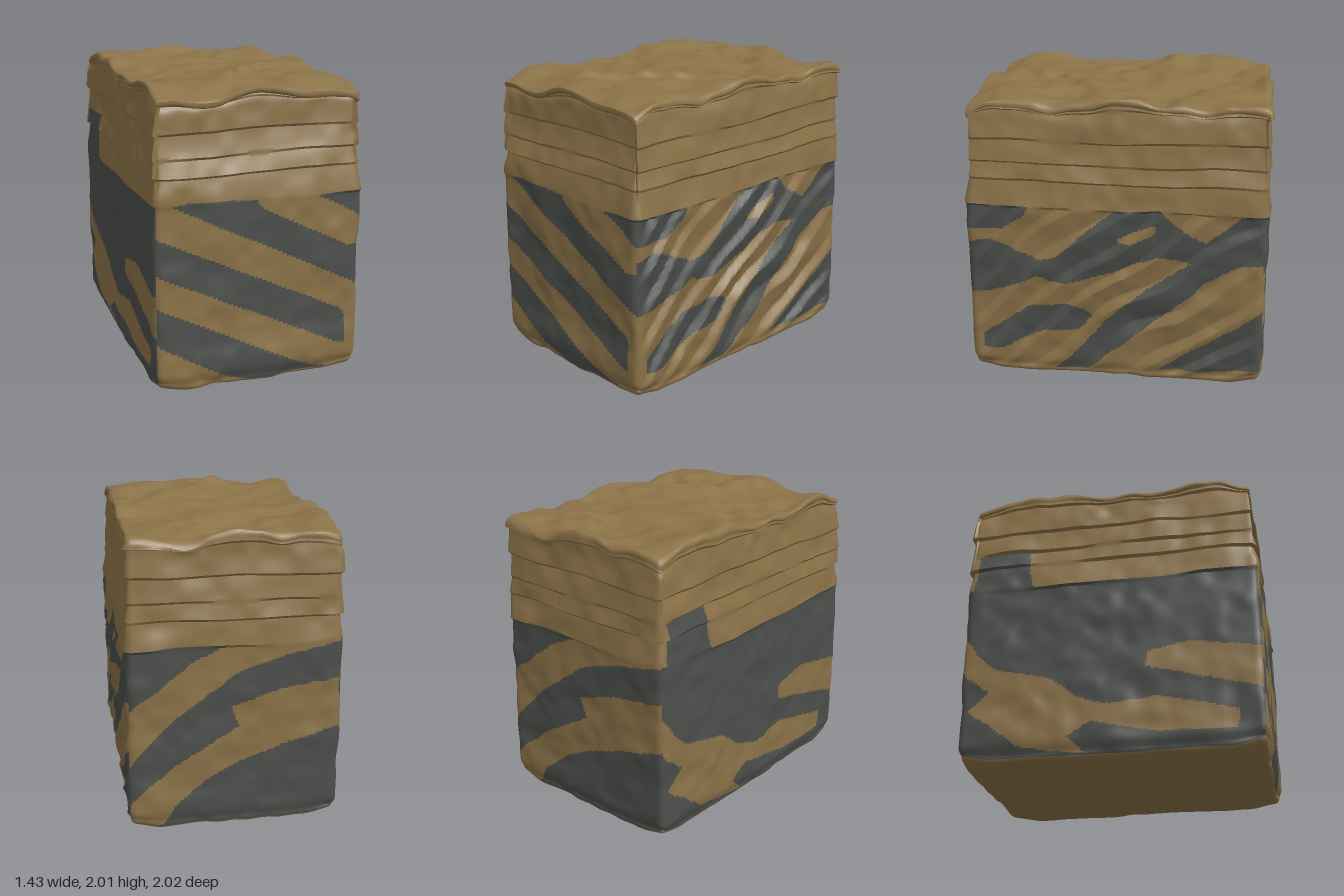
import * as THREE from 'three';
import { toCreasedNormals } from 'three/addons/utils/BufferGeometryUtils.js';

// Dark bands of each side as outlines of (horizontal, height): x on front and back, z on the sides
const bands = {
  front: [
    [[0.39, 1.25], [0.8, 1.25], [0.8, 1.03]],
    [[-0.58, 1.25], [-0.42, 1.27], [-0.3, 1.27], [-0.02, 1.25], [0, 1.2], [0.6, 0.9], [0.8, 0.9], [0.8, 0.57]],
    [[-0.8, 1.11], [0.55, 0.47], [0.59, 0.44], [0.6, 0.4], [0.6, 0.22], [0.54, 0.23], [-0.8, 0.87]],
    [[-0.8, 0.66], [0.48, 0.02], [0.4, -0.1], [0.1, -0.1], [-0.8, 0.42]],
  ],
  right: [
    [[1.1, 1.25], [0.57, 1.25], [0.6, 1.19], [0.76, 1.08], [1.1, 1.09]],
    [[1.1, 0.97], [0.81, 1.01], [0.52, 0.87], [0.4, 0.9], [0, 1.25], [-0.31, 1.25], [-0.39, 1.16],
      [-0.59, 1.04], [-0.85, 1.25], [-1.1, 1.25], [-1.1, 0.91], [-0.82, 0.89], [-0.6, 0.76],
      [-0.39, 0.55], [-0.07, 0.3], [0.2, 0.05], [0.43, 0.03], [0.25, 0.22], [-0.02, 0.55],
      [-0.5, 0.89], [-0.28, 0.94], [-0.07, 0.84], [0.25, 0.73], [0.44, 0.71], [0.52, 0.76],
      [0.76, 0.65], [1.1, 0.6]],
    [[-0.02, 1.05], [-0.26, 1.16], [-0.26, 1.1], [-0.1, 1.02], [-0.02, 1.02]], // hole in the band above
    [[-0.28, 0.09], [-0.5, 0.25], [-0.6, 0.3], [-1.1, 0.66], [-1.1, 0.14], [-0.6, 0.09]],
    [[0.91, 0.3], [0.57, 0.54], [0.25, 0.55], [0.15, 0.48], [0.25, 0.36], [0.46, 0.36], [0.78, 0.2], [0.91, 0.2]],
  ],
  back: [
    [[0.8, 0.78], [0.5, 0.97], [0.3, 1.14], [0.05, 1.25], [0.8, 1.25]],
    [[0.8, 0.36], [0.4, 0.77], [0, 1.07], [-0.4, 1.2], [-0.8, 1.25], [-0.8, 1.02], [-0.3, 0.95],
      [0.03, 0.84], [-0.02, 0.71], [0.4, 0.45], [0.8, 0.1]],
    [[0.55, -0.1], [0.4, 0.17], [0.2, 0.34], [0, 0.45], [-0.35, 0.58], [-0.8, 0.7], [-0.8, -0.1]],
  ],
  left: [
    [[-1.1, -0.1], [-1.1, 1.25], [-0.95, 1.25], [-0.92, 1.53], [-0.55, 1.53], [-0.53, 1.25], [1.1, 1.25], [1.1, -0.1]],
    [[-1.1, 0.96], [-0.93, 0.84], [-0.78, 0.66], [-0.6, 0.62], [-0.4, 0.57], [-0.2, 0.42], [0, 0.36], [0.3, 0.4],
      [0.83, 0.27], [0.8, 0.15], [0.3, 0.16], [-0.13, 0.25], [-0.27, 0.16], [-0.13, 0.02], [-0.6, 0.12],
      [-0.93, 0.38], [-0.8, 0.5], [-1.1, 0.72]], // sandstone showing through
    [[0.24, 0.7], [0.53, 0.76], [1.1, 0.66], [1.1, 0.37], [0.7, 0.48], [0.24, 0.6]],
  ],
};

// Even-odd test, so an outline inside another one cuts a hole
function inBands(list, u, v) {
  let inside = false;
  for (const poly of list) {
    poly.forEach(([ax, ay], i) => {
      const [bx, by] = poly[(i + 1) % poly.length];
      if ((ay > v) !== (by > v) && u < ax + ((v - ay) / (by - ay)) * (bx - ax)) inside = !inside;
    });
  }
  return inside;
}

// Smooth lattice noise in -1..1
function hash(x, y, z) {
  let h = Math.imul(x, 374761393) ^ Math.imul(y, 668265263) ^ Math.imul(z, 2147425347);
  h = Math.imul(h ^ (h >>> 13), 1274126177);
  return ((h ^ (h >>> 16)) >>> 0) / 2147483648 - 1;
}
function noise(x, y, z) {
  const c = [x, y, z].map(Math.floor);
  const f = [x - c[0], y - c[1], z - c[2]].map((t) => t * t * (3 - 2 * t));
  let sum = 0;
  for (let i = 0; i < 8; i++) {
    const b = [i & 1, (i >> 1) & 1, i >> 2];
    const w = b.reduce((p, on, k) => p * (on ? f[k] : 1 - f[k]), 1);
    sum += w * hash(c[0] + b[0], c[1] + b[1], c[2] + b[2]);
  }
  return sum;
}

const smooth = THREE.MathUtils.smoothstep;
const radius = 0.06;
const coreMin = new THREE.Vector3(-0.7 + radius, radius, -1 + radius);
const coreMax = new THREE.Vector3(0.7 - radius, 2 - radius, 1 - radius);
// Layer heights, each on a row of the grid
const ledges = [75, 86, 93, 102, 115, 121].map((row) => row / 60);
// Steps on the top: centre x, centre z, half length, height
const creases = [[0.2, 0.27, 0.3, 0.05], [-0.05, 0.62, 0.2, 0.04]];

// Moves a point of the plain block onto the weathered rock
function weather(p) {
  const { x, y, z } = p;
  const core = p.clone().clamp(coreMin, coreMax);
  const n = p.clone().sub(core).normalize();
  const q = core.addScaledVector(n, radius);
  const side = 1 - Math.abs(n.y);
  const corner = smooth(Math.abs(x), 0.45, 0.7) * smooth(Math.abs(z), 0.75, 1);

  // General lumps
  let out = 0.012 * noise(x * 4, y * 5, z * 4) + 0.006 * noise(x * 10 + 7, y * 10, z * 10) - 0.008;

  // Flat layers of the upper part, each overhanging the one below
  if (y > ledges[0] - 1e-4) {
    const i = ledges.findIndex((l, k) => y < ledges[k + 1] - 1e-4);
    const t = (y - ledges[i]) / (ledges[i + 1] - ledges[i]);
    const rise = (y - 1.25) / 0.75;
    let taper = 0.045 * rise;
    if (n.z > 0.5) taper = 0.065 * smooth(y, 1.25, 1.72) + 0.02 * smooth(y, 1.85, 2);
    if (n.z < -0.5) taper = 0.025 * rise;
    out += side * (0.016 * (0.55 - t) + 0.008 * noise(x * 3, i * 7, z * 3) - taper);
  }

  // Slanting ridges on the right side
  if (n.x > 0.3 && y < ledges[0] - 1e-4) {
    const s = (y * 0.8 + z * 0.6) * 5 + 0.6 * noise(1, y * 2, z * 2);
    const t = s - Math.floor(s);
    const fade = smooth(y, 0, 0.15) * smooth(1 - Math.abs(z), 0, 0.12);
    const depth = 0.035 + 0.015 * noise(4, y * 2, z * 2);
    out += fade * n.x * depth * ((t < 0.7 ? t / 0.7 : (1 - t) / 0.3) - 0.6);
  }

  // Narrowing foot with worn corners
  const foot = 1 - smooth(y, 0, 0.15);
  out -= 0.03 * side * foot;
  q.addScaledVector(n, out);
  q.y += foot * (0.012 + 0.04 * corner);

  // Wavering layers
  q.y += smooth(y, 1.1, 1.25) * (1 - smooth(y, 1.85, 2)) * 0.014 * noise(x * 3 + 3, y * 4, z * 3);

  // Rolling top, lower along the front edge and to the right, with slanting steps
  let lift = 0.04 * noise(x * 3, 3, z * 3) + 0.022 * noise(x * 7, 9, z * 7) - 0.045
    - 0.035 * smooth(z, 0.75, 0.95) - 0.025 * x - 0.025 * corner;
  for (const [cx, cz, reach, height] of creases) {
    const across = (x - cx) * 0.65 + (z - cz) * 0.76;
    const along = (x - cx) * 0.76 - (z - cz) * 0.65;
    lift += height * smooth(across, -0.25, 0) * (1 - smooth(across, 0, 0.08))
      * (1 - smooth(Math.abs(along), reach * 0.4, reach));
  }
  q.y += smooth(y, 1.8, 2) * lift;
  return q;
}

// One weathered block, as separate triangles with creased normals
function makeRock() {
  const box = new THREE.BoxGeometry(1.4, 2, 2, 84, 120, 112).translate(0, 1, 0);
  const plain = box.toNonIndexed().attributes.position;
  const pos = box.attributes.position;
  const v = new THREE.Vector3();
  for (let i = 0; i < pos.count; i++) {
    const q = weather(v.fromBufferAttribute(pos, i));
    pos.setXYZ(i, q.x, q.y, q.z);
  }
  return { rock: toCreasedNormals(box, 0.5), plain };
}

// Which part a triangle belongs to, from its centre on the plain block
function partOf(c) {
  if (c.y > 1.999) return 'weatheredTop';
  if (c.y < 0.001) return 'underside';
  const face = Math.abs(c.x) > 0.699 ? (c.x > 0 ? 'right' : 'left') : (c.z > 0 ? 'front' : 'back');
  const straight = face === 'front';
  const u = straight || face === 'back' ? c.x : c.z;
  const waver = straight ? 0 : 0.015 * noise(c.x * 9, c.y * 9, c.z * 9);
  if (inBands(bands[face], u + waver, c.y)) return 'darkBands';
  return c.y > ledges[0] ? 'layeredCap' : 'lowerBody';
}

export function createModel() {
  const sandstone = new THREE.MeshStandardMaterial({ color: 0x8b7248 });
  sandstone.name = 'sandstone';
  const slate = new THREE.MeshStandardMaterial({ color: 0x4c4f4b });
  slate.name = 'slate';

  const { rock, plain } = makeRock();
  const parts = { weatheredTop: [], layeredCap: [], lowerBody: [], darkBands: [], underside: [] };
  const c = new THREE.Vector3();
  const v = new THREE.Vector3();
  for (let i = 0; i < plain.count; i += 3) {
    c.set(0, 0, 0);
    for (let k = 0; k < 3; k++) c.add(v.fromBufferAttribute(plain, i + k));
    parts[partOf(c.divideScalar(3))].push(i, i + 1, i + 2);
  }

  const group = new THREE.Group();
  group.name = 'layeredRock';
  for (const [name, corners] of Object.entries(parts)) {
    const geo = new THREE.BufferGeometry();
    for (const key of ['position', 'normal']) {
      const a = rock.attributes[key];
      geo.setAttribute(key, new THREE.Float32BufferAttribute(
        corners.flatMap((i) => [a.getX(i), a.getY(i), a.getZ(i)]), 3));
    }
    const mesh = new THREE.Mesh(geo, name === 'darkBands' ? slate : sandstone);
    mesh.name = name;
    group.add(mesh);
  }
  return group;
}
